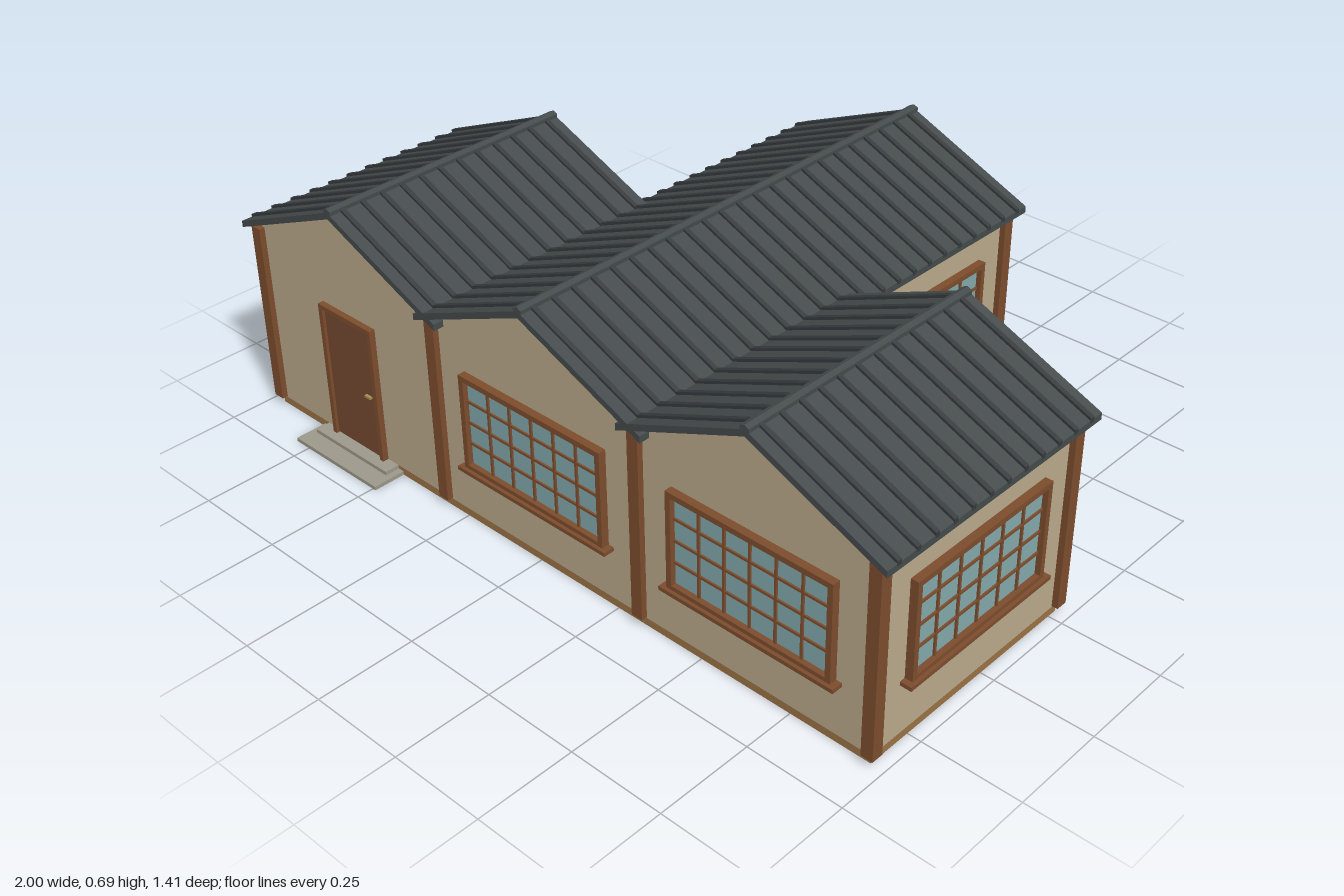
import * as THREE from 'three';

const S = 0.643;            // bay size
const H = S / 2;
const Z0 = 0.296;           // centre of the front row of bays
const Z1 = Z0 - S;          // centre of the rear bay
const SLOPE = 0.425;

const mat = (name, color) => {
  const m = new THREE.MeshStandardMaterial({ color });
  m.name = name;
  return m;
};
const M = {
  wall: mat('wall plaster', 0xbaa98b),
  roof: mat('roof slate', 0x444a4b),
  rib: mat('roof rib', 0x363b3d),
  trim: mat('timber trim', 0x7c4c2d),
  door: mat('door timber', 0x754a30),
  glass: mat('window glass', 0x82a8ab),
  base: mat('base timber', 0x9a7244),
  stone: mat('step stone', 0x9c988a),
  brass: mat('handle brass', 0xa88a50),
};

function box(parent, name, m, w, h, d, x, y, z) {
  const mesh = new THREE.Mesh(new THREE.BoxGeometry(w, h, d), m);
  mesh.name = name;
  mesh.position.set(x, y, z);
  parent.add(mesh);
  return mesh;
}

// Extrude an x/y outline from z = back towards the front
function prism(parent, name, m, pts, x, back, length) {
  const shape = new THREE.Shape(pts.map(p => new THREE.Vector2(p[0], p[1])));
  const geo = new THREE.ExtrudeGeometry(shape, { depth: length, bevelEnabled: false });
  const mesh = new THREE.Mesh(geo, m);
  mesh.name = name;
  mesh.position.set(x, 0, back);
  parent.add(mesh);
}

// Inverted V outline with a given ridge height, thickness and half width
function chevron(top, t, w) {
  const e = top - SLOPE * w;
  return [[0, top], [-w, e], [-w, e - t], [0, top - t], [w, e - t], [w, e]];
}

// Gabled walls on a base plate
function bay(parent, x, z) {
  const g = new THREE.Group();
  g.name = 'bay';
  box(g, 'basePlate', M.base, S, 0.02, S, x, 0.01, z);
  prism(g, 'gabledWalls', M.wall,
    [[-H, 0.02], [H, 0.02], [H, 0.525], [0, 0.662], [-H, 0.525]], x, z - H, S);
  parent.add(g);
}

// Ribbed roof between two z positions
function roof(parent, x, back, front, ribs) {
  const g = new THREE.Group();
  g.name = 'roof';
  prism(g, 'roofSlab', M.roof, chevron(0.675, 0.017, 0.357), x, back, front - back);
  const first = back + 0.036, step = (front - back - 0.072) / (ribs - 1);
  for (let i = 0; i < ribs; i++) {
    prism(g, 'roofRib', M.rib, chevron(0.682, 0.012, 0.358), x, first + i * step - 0.006, 0.012);
  }
  prism(g, 'ridgeCap', M.roof, chevron(0.685, 0.012, 0.012), x, back, front - back);
  parent.add(g);
}

// Window facing +z, then turned about y and set against a wall
function gridWindow(parent, x, z, turn) {
  const g = new THREE.Group();
  g.name = 'window';
  const w = 0.45, h = 0.255, cy = 0.287, f = 0.014;
  box(g, 'glass', M.glass, w - f, h - f, 0.006, 0, cy, 0.003);
  for (const s of [-1, 1]) {
    box(g, 'frameSide', M.trim, f, h, 0.02, s * (w - f) / 2, cy, 0.01);
    box(g, 'frameRail', M.trim, w - 2 * f, f, 0.02, 0, cy + s * (h - f) / 2, 0.01);
  }
  for (let i = 1; i < 6; i++) {
    box(g, 'mullion', M.trim, 0.006, h - 2 * f, 0.006, -w / 2 + f + i * (w - 2 * f) / 6, cy, 0.008);
  }
  for (let i = 1; i < 4; i++) {
    box(g, 'glazingBar', M.trim, w - 2 * f, 0.006, 0.005, 0, cy - h / 2 + f + i * (h - 2 * f) / 4, 0.008);
  }
  box(g, 'sill', M.trim, 0.48, 0.01, 0.029, 0, 0.158, 0.0145);
  g.position.set(x, 0, z);
  g.rotation.y = turn;
  parent.add(g);
}

export function createModel() {
  const model = new THREE.Group();
  model.name = 'house';

  // Three bays in front, one behind the middle
  for (const x of [-S, 0, S]) bay(model, x, Z0);
  bay(model, 0, Z1);

  // Roofs
  roof(model, -S, -0.065, 0.645, 12);
  roof(model, S, -0.065, 0.645, 12);
  roof(model, 0, -0.705, 0.645, 23);

  // Corner posts
  for (const s of [-1, 1]) {
    for (const [x, z] of [[1.5 * S, Z0 + H], [H, Z0 + H], [1.5 * S, Z0 - H], [H, Z1 - H]]) {
      box(model, 'cornerPost', M.trim, 0.031, 0.49, 0.031, s * x, 0.268, z);
    }
    // Side and back windows of the outer bays, side windows of the rear bay
    gridWindow(model, s * 1.5 * S, Z0, s * Math.PI / 2);
    gridWindow(model, s * H, Z1, s * Math.PI / 2);
    gridWindow(model, s * S, Z0 - H, Math.PI);
  }
  gridWindow(model, 0, Z1 - H, Math.PI);
  gridWindow(model, 0, Z0 + H, 0);
  gridWindow(model, S, Z0 + H, 0);

  // Door with surround and handle
  const door = new THREE.Group();
  door.name = 'door';
  box(door, 'doorLeaf', M.door, 0.172, 0.356, 0.008, 0, 0.2, 0.004);
  for (const s of [-1, 1]) box(door, 'doorJamb', M.trim, 0.013, 0.37, 0.016, s * 0.0905, 0.205, 0.008);
  box(door, 'doorHead', M.trim, 0.168, 0.013, 0.016, 0, 0.3835, 0.008);
  box(door, 'doorHandle', M.brass, 0.02, 0.006, 0.008, 0.06, 0.19, 0.012);
  door.position.set(-S, 0, Z0 + H);
  model.add(door);

  // Entrance steps
  box(model, 'lowerStep', M.stone, 0.305, 0.01, 0.088, -S, 0.005, 0.661);
  box(model, 'upperStep', M.stone, 0.27, 0.01, 0.04, -S, 0.015, 0.637);

  return model;
}
